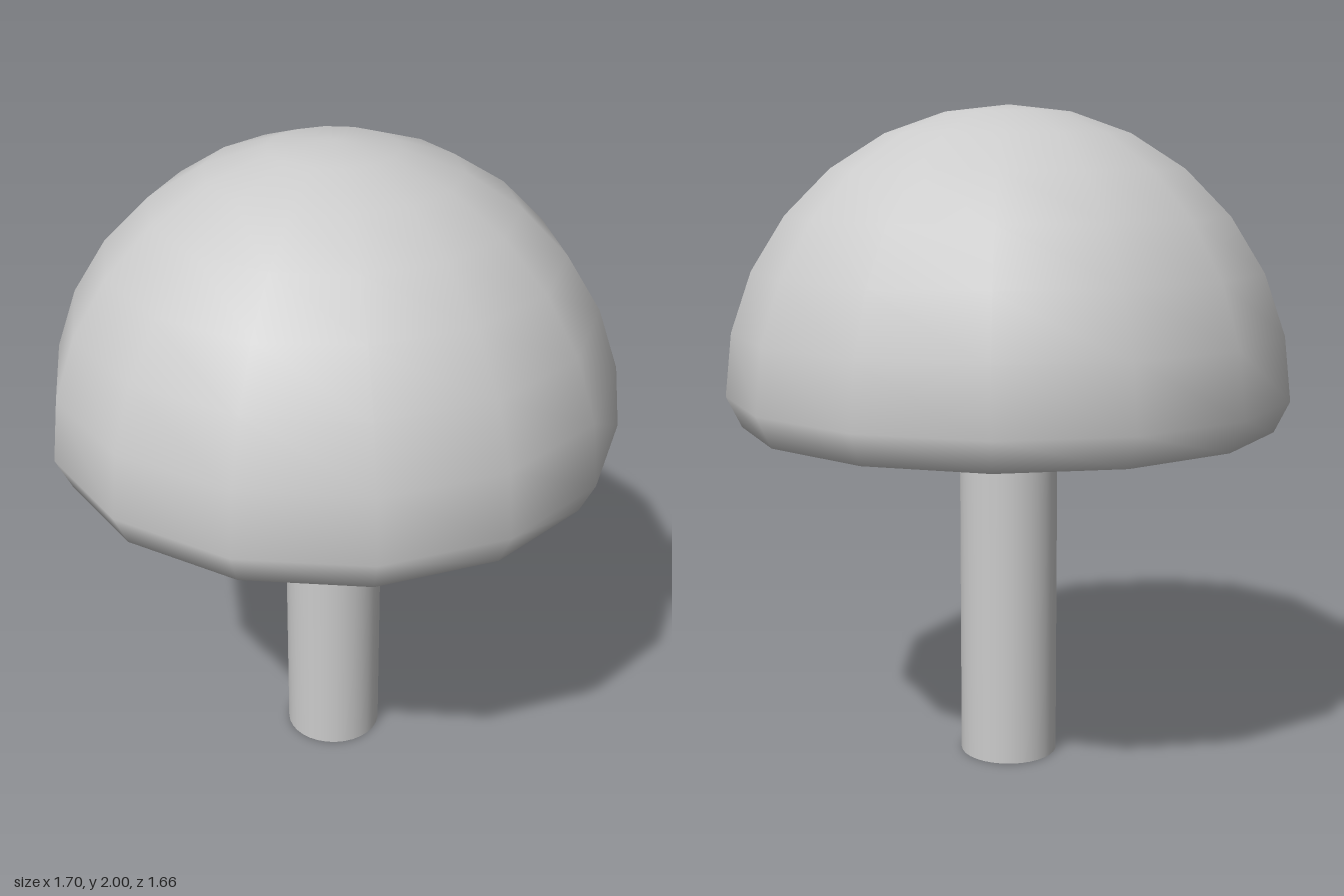
import * as THREE from 'three';
import { mergeVertices } from 'three/addons/utils/BufferGeometryUtils.js';

const SIDES = 14;
const RADIUS = 0.85;
const EQUATOR = 1.15;

// Revolve [radius, height] pairs with a corner on the x axis, smooth across seam and poles
function revolve(points) {
  const profile = points.map(([r, y]) => new THREE.Vector2(r, y));
  const lathe = new THREE.LatheGeometry(profile, SIDES, Math.PI / 2, Math.PI * 2);
  lathe.deleteAttribute('uv');
  lathe.deleteAttribute('normal');
  const geometry = mergeVertices(lathe, 1e-4);
  geometry.computeVertexNormals();
  return geometry;
}

export function createModel() {
  const model = new THREE.Group();
  const material = new THREE.MeshStandardMaterial({ color: 0xcccccc, side: THREE.DoubleSide });

  function add(name, geometry) {
    const mesh = new THREE.Mesh(geometry, material);
    mesh.name = name;
    model.add(mesh);
    return mesh;
  }

  // Cap: hollow cone underneath, thin lip, tucked-in rim, then a hemisphere up to the pole
  const cap = [[0, 1.75], [0.775, 1.065], [0.805, 1.057]];
  for (let i = 0; i <= 7; i++) {
    const a = (i * Math.PI) / SIDES;
    cap.push([i === 7 ? 0 : RADIUS * Math.cos(a), EQUATOR + RADIUS * Math.sin(a)]);
  }
  add('cap', revolve(cap));

  // Stem: an open tube that runs up into the hollow
  const height = 1.62;
  const stem = new THREE.CylinderGeometry(0.15, 0.15, height, 32, 1, true);
  add('stem', stem).position.y = height / 2;

  return model;
}
